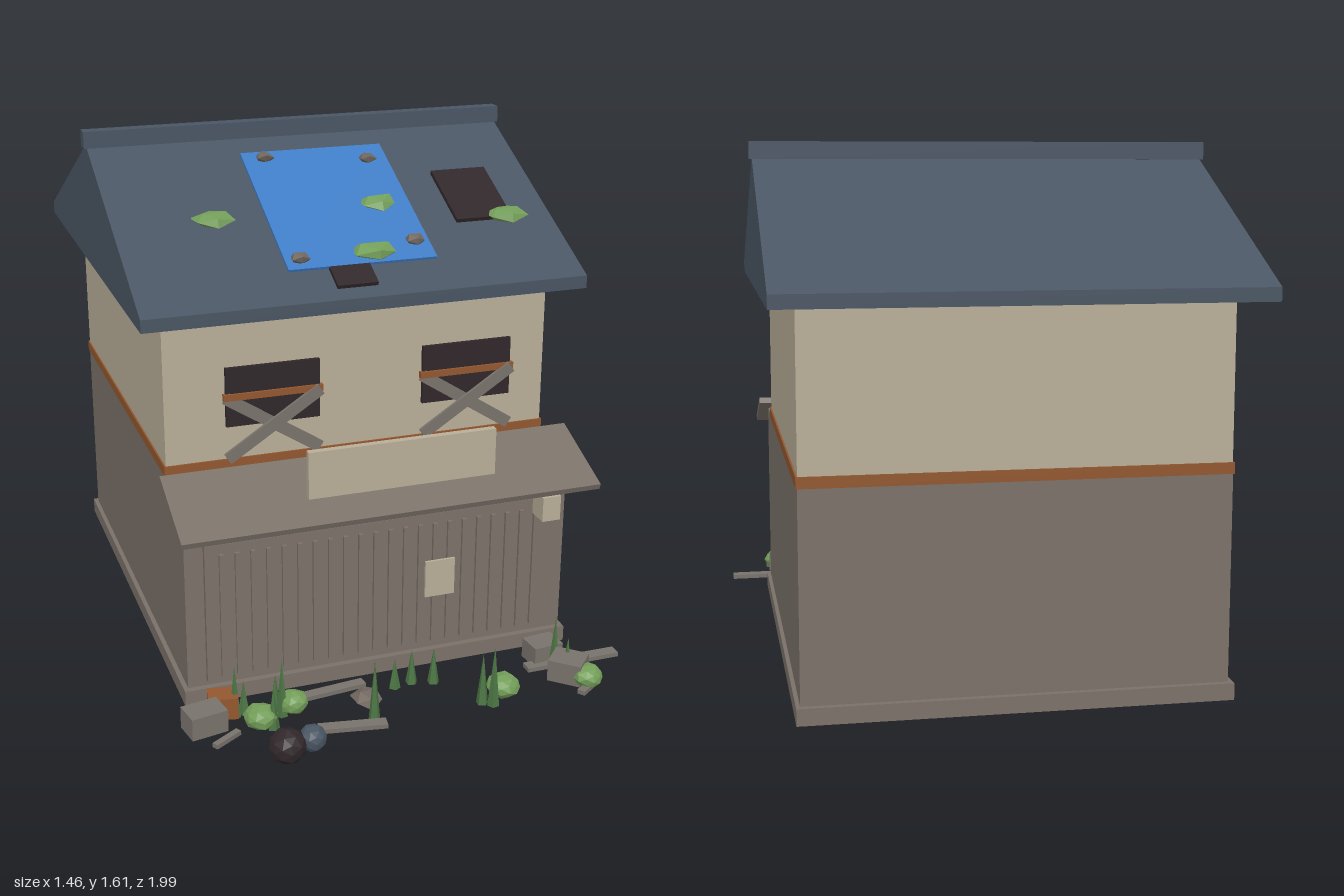
import * as THREE from 'three';

const mat = (name, color) => Object.assign(new THREE.MeshStandardMaterial({ color }), { name });

export function createModel() {
  const M = {
    plaster: mat('plaster', 0xb8ae98),
    concrete: mat('concrete', 0x7a7169),
    roof: mat('slate', 0x495563),
    dark: mat('dark', 0x30272a),
    rust: mat('rust', 0x92572f),
    tarp: mat('tarp blue', 0x3f7cc4),
    moss: mat('moss', 0x739e59),
    grass: mat('grass', 0x4c7544),
    wood: mat('weathered wood', 0x79726c),
    stone: mat('stone', 0x70675f),
  };
  const model = new THREE.Group();
  model.name = 'abandonedShop';
  const CX = -0.022; // middle of the house

  function add(name, geo, m, x, y, z, rx = 0, ry = 0, rz = 0) {
    const mesh = new THREE.Mesh(geo, m);
    mesh.name = name;
    mesh.position.set(x, y, z);
    mesh.rotation.set(rx, ry, rz);
    model.add(mesh);
    return mesh;
  }
  // box given by its extents
  function span(name, m, x0, x1, y0, y1, z0, z1) {
    return add(name, new THREE.BoxGeometry(x1 - x0, y1 - y0, z1 - z0), m,
      (x0 + x1) / 2, (y0 + y1) / 2, (z0 + z1) / 2);
  }
  const box = (name, m, w, h, d, ...place) => add(name, new THREE.BoxGeometry(w, h, d), m, ...place);

  let seed = 7;
  const rand = () => (seed = (seed * 16807) % 2147483647) / 2147483647;

  // irregular faceted lump
  function lump(name, m, x, y, z, rx, ry, rz, detail = 0, rough = 0.15) {
    const geo = new THREE.IcosahedronGeometry(1, detail);
    const p = geo.attributes.position, phase = rand() * 6;
    const v = new THREE.Vector3();
    for (let i = 0; i < p.count; i++) {
      v.fromBufferAttribute(p, i);
      const k = 1 + rough * Math.sin(v.x * 5 + v.y * 3 + v.z * 7 + phase);
      p.setXYZ(i, v.x * k * rx, v.y * k * ry, v.z * k * rz);
    }
    geo.computeVertexNormals();
    return add(name, geo, m, x, y, z);
  }

  // walls
  span('plinth', M.concrete, -0.652, 0.608, 0.01, 0.06, -0.895, 0.578);
  span('groundFloor', M.concrete, -0.638, 0.596, 0.05, 0.675, -0.877, 0.558);
  span('upperFloor', M.plaster, -0.637, 0.595, 0.67, 1.18, -0.875, 0.357);
  span('trimBand', M.rust, -0.642, 0.6, 0.672, 0.705, -0.88, 0.362);

  // gabled roof
  const gable = new THREE.Shape([[-0.477, 1.17], [1, 1.17], [1, 1.21], [0.26, 1.563], [-0.477, 1.21]]
    .map(([a, b]) => new THREE.Vector2(a, b)));
  add('roof', new THREE.ExtrudeGeometry(gable, { depth: 1.394, bevelEnabled: false }),
    M.roof, -0.72, 0, 0, 0, Math.PI / 2, 0);
  span('ridgeCap', M.roof, -0.73, 0.683, 1.555, 1.608, -0.284, -0.236);

  // roof patches follow the front slope
  const slope = Math.atan2(0.353, 0.737);
  const roofY = z => 1.21 + (0.477 - z) * 0.479;
  function patch(name, m, x0, x1, z0, z1, lift, t) {
    const z = (z0 + z1) / 2;
    box(name, m, x1 - x0, t, (z1 - z0) / Math.cos(slope), (x0 + x1) / 2, roofY(z) + lift, z, slope);
  }
  patch('tarp', M.tarp, -0.247, 0.225, -0.155, 0.358, 0.009, 0.009);
  patch('roofHoleLarge', M.dark, 0.35, 0.535, -0.012, 0.212, 0.006, 0.016);
  patch('roofHoleSmall', M.dark, -0.12, 0.007, 0.33, 0.435, 0.005, 0.016);
  for (const [x, z] of [[-0.178, -0.12], [0.156, -0.083], [0.18, 0.288], [-0.2, 0.322]])
    lump('tarpStone', M.stone, x, roofY(z) + 0.019, z, 0.031, 0.019, 0.031);
  for (const [x, z, r] of [[-0.41, 0.125, 0.074], [0.125, 0.11, 0.063], [0.04, 0.31, 0.074], [0.52, 0.205, 0.076]])
    lump('roofMoss', M.moss, x, roofY(z) + 0.012, z, r, 0.026, r * 0.85);

  // boarded windows
  for (const x of [-0.332, 0.284]) {
    box('window', M.dark, 0.288, 0.182, 0.012, x, 0.944, 0.464);
    box('windowRail', M.rust, 0.305, 0.02, 0.016, x, 0.946, 0.47);
    for (const s of [-1, 1])
      box('windowBoard', M.wood, 0.345, 0.036, 0.01, x, 0.85, 0.474 + s * 0.005, 0, 0, s * 0.575);
  }

  // awning and blank sign board
  box('awning', M.concrete, 1.31, 0.02, 0.278, -0.025, 0.663, 0.589, 0.38);
  span('signBoard', M.plaster, -0.313, 0.262, 0.717, 0.86, 0.725, 0.746);

  // ribbed shutter
  span('shutter', M.concrete, -0.58, 0.536, 0.08, 0.53, 0.555, 0.574);
  for (let i = 0; i < 22; i++)
    box('shutterSlat', M.concrete, 0.014, 0.405, 0.012, CX - 0.508 + i * 0.0484, 0.297, 0.578);
  span('notice', M.plaster, 0.113, 0.21, 0.257, 0.378, 0.586, 0.594);
  span('mailBox', M.plaster, 0.478, 0.538, 0.482, 0.562, 0.57, 0.645);

  // crates and loose planks
  box('crate', M.wood, 0.115, 0.07, 0.085, -0.628, 0.045, 0.715, 0, 0.18, 0);
  box('rustyCrate', M.rust, 0.09, 0.07, 0.07, -0.555, 0.044, 0.65, 0, -0.2, 0);
  box('crate', M.wood, 0.105, 0.07, 0.095, 0.518, 0.045, 0.79, 0, -0.75, 0);
  box('crate', M.wood, 0.1, 0.065, 0.08, 0.49, 0.043, 0.665, 0, 0.1, 0);
  const planks = [[-0.213, 0.848, 0.205, 0.038, -0.17], [-0.582, 0.795, 0.1, 0.02, 0.55],
    [0.57, 0.71, 0.315, 0.04, 0], [0.55, 0.87, 0.1, 0.025, 0.6], [-0.2, 0.64, 0.2, 0.035, 0.1]];
  for (const [x, z, l, w, a] of planks) box('loosePlank', M.wood, l, 0.014, w, x, 0.017, z, 0, a, 0);

  // rubbish bags, rock and bushes
  lump('blackBag', M.dark, -0.443, 0.055, 0.94, 0.056, 0.052, 0.056, 1, 0.03);
  lump('blueBag', M.roof, -0.36, 0.05, 0.917, 0.042, 0.04, 0.042, 1, 0.03);
  lump('rock', M.stone, -0.13, 0.037, 0.745, 0.05, 0.03, 0.05);
  for (const [x, z, r] of [[-0.465, 0.745, 0.052], [-0.35, 0.7, 0.045], [0.285, 0.815, 0.052], [0.555, 0.848, 0.048]])
    lump('bush', M.moss, x, 0.04, z, r, 0.036, r, 1, 0.06);

  // grass blades
  const blades = [[-0.52, 0.66, 0.17], [-0.49, 0.65, 0.11], [-0.43, 0.76, 0.14], [-0.385, 0.7, 0.19],
    [-0.4, 0.68, 0.13], [-0.137, 0.825, 0.21], [-0.01, 0.66, 0.1], [0.05, 0.65, 0.115], [0.115, 0.67, 0.12],
    [0.21, 0.83, 0.17], [0.238, 0.85, 0.2], [0.51, 0.71, 0.18], [0.53, 0.76, 0.13]];
  for (const [x, z, h] of blades) {
    const geo = new THREE.ConeGeometry(0.019, h, 5).toNonIndexed();
    geo.computeVertexNormals();
    add('grassBlade', geo, M.grass, x, h / 2, z, 0, rand() * 3, 0);
  }
  return model;
}
